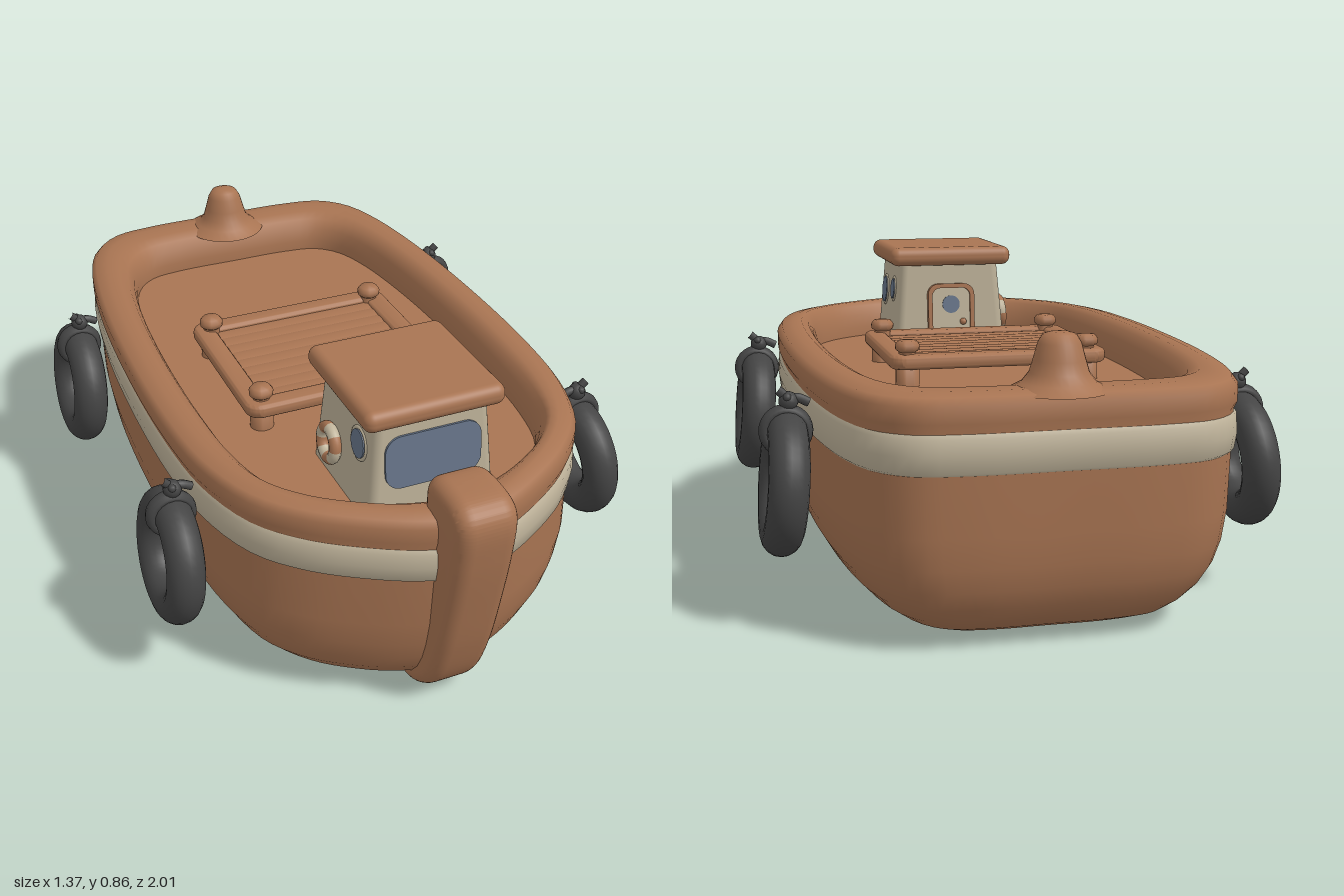
import * as THREE from 'three';
import { toCreasedNormals } from 'three/addons/utils/BufferGeometryUtils.js';
import { RoundedBoxGeometry } from 'three/addons/geometries/RoundedBoxGeometry.js';

const mat = (name, color) => {
  const m = new THREE.MeshStandardMaterial({ color });
  m.name = name;
  return m;
};

// Half outline of the hull, from stern to bow, in the range -1 to 1
const HALF = [[0, -1], [0.44, -0.997], [0.67, -0.97], [0.81, -0.89], [0.895, -0.75], [0.965, -0.48], [1, -0.11],
  [0.993, 0.26], [0.95, 0.49], [0.84, 0.68], [0.665, 0.805], [0.4, 0.915], [0.19, 0.975], [0, 1]];

function outline(count) {
  const mirrored = HALF.slice(1, -1).reverse().map(([x, z]) => [-x, z]);
  const pts = [...HALF, ...mirrored].map(([x, z]) => new THREE.Vector3(x, 0, z));
  return new THREE.CatmullRomCurve3(pts, true).getSpacedPoints(count).slice(0, count);
}

// Skin through levels of [y, half width, stern z, bow z, extra fullness of the bow]
function loft(levels, n = 112) {
  const ring = outline(n), pos = [], idx = [];
  for (const [y, hw, zb, zf, full = 0] of levels)
    for (const p of ring) {
      const widen = 1 + full * Math.max(0, p.z) ** 4;
      pos.push(p.x * hw * widen, y, (zb + zf) / 2 + p.z * (zf - zb) / 2);
    }
  for (let i = 0; i < levels.length - 1; i++)
    for (let j = 0; j < n; j++) {
      const a = i * n + j, c = i * n + (j + 1) % n, b = a + n, d = c + n;
      idx.push(a, b, c, c, b, d);
    }
  const g = new THREE.BufferGeometry();
  g.setAttribute('position', new THREE.Float32BufferAttribute(pos, 3));
  g.setIndex(idx);
  g.computeVertexNormals();
  return g;
}

function roundRect(w, h, r, Kind = THREE.Shape) {
  const s = new Kind(), x = w / 2, y = h / 2;
  s.moveTo(-x + r, -y);
  s.lineTo(x - r, -y); s.absarc(x - r, -y + r, r, -Math.PI / 2, 0);
  s.lineTo(x, y - r); s.absarc(x - r, y - r, r, 0, Math.PI / 2);
  s.lineTo(-x + r, y); s.absarc(-x + r, y - r, r, Math.PI / 2, Math.PI);
  s.lineTo(-x, -y + r); s.absarc(-x + r, -y + r, r, Math.PI, Math.PI * 1.5);
  return s;
}

const plate = (shape, depth) => new THREE.ExtrudeGeometry(shape, { depth, bevelEnabled: false, curveSegments: 10 });

export function createModel() {
  const brown = mat('hull brown', 0xa87452), cream = mat('trim cream', 0xc0b49b);
  const glass = mat('window blue grey', 0x67758a), rubber = mat('rubber black', 0x444444);
  const boat = new THREE.Group();
  boat.name = 'boat';
  const add = (name, geo, m, parent = boat, x = 0, y = 0, z = 0) => {
    const mesh = new THREE.Mesh(geo, m);
    mesh.name = name;
    mesh.position.set(x, y, z);
    parent.add(mesh);
    return mesh;
  };

  // Hull and rounded rail in one skin, then the sunken deck
  add('hull', loft([
    [0.016, 0.001, -0.101, -0.099], [0.016, 0.31, -0.78, 0.65, 0.3], [0.022, 0.36, -0.83, 0.71, 0.3],
    [0.04, 0.405, -0.868, 0.755, 0.28], [0.07, 0.447, -0.9, 0.793, 0.25], [0.11, 0.485, -0.928, 0.822, 0.22],
    [0.16, 0.515, -0.95, 0.845, 0.18], [0.22, 0.535, -0.963, 0.863, 0.14], [0.3, 0.547, -0.971, 0.878, 0.1],
    [0.45, 0.551, -0.976, 0.89], [0.558, 0.553, -0.98, 0.895],
    [0.575, 0.561, -0.987, 0.9], [0.615, 0.561, -0.987, 0.9], [0.634, 0.547, -0.973, 0.888], [0.641, 0.515, -0.935, 0.855],
    [0.641, 0.485, -0.88, 0.82, 0.15], [0.628, 0.462, -0.845, 0.795, 0.3], [0.6, 0.446, -0.826, 0.778, 0.35],
    [0.56, 0.438, -0.817, 0.77, 0.35], [0.525, 0.438, -0.817, 0.77, 0.35]]), brown);
  add('deck', loft([[0.53, 0.44, -0.82, 0.772, 0.35], [0.53, 0.001, -0.101, -0.099]]), brown);

  // Cream band around the hull
  add('hullBand', loft([[0.446, 0.545, -0.97, 0.88], [0.458, 0.557, -0.984, 0.9], [0.5, 0.562, -0.991, 0.906],
    [0.54, 0.559, -0.988, 0.904], [0.556, 0.548, -0.975, 0.89]]), cream);

  // Bow stem, drawn from the side
  const stem = new THREE.Shape();
  stem.moveTo(0.79, 0.6);
  stem.splineThru([[0.79, 0.69], [0.82, 0.724], [0.89, 0.73], [0.96, 0.718], [0.995, 0.67], [0.988, 0.56], [0.958, 0.4],
    [0.92, 0.24], [0.87, 0.11], [0.8, 0.03], [0.72, 0], [0.62, 0.018]].map(p => new THREE.Vector2(...p)));
  stem.lineTo(0.7, 0.2);
  const stemGeo = new THREE.ExtrudeGeometry(stem, { depth: 0.08, steps: 1, curveSegments: 40,
    bevelThickness: 0.042, bevelSize: 0.038, bevelOffset: -0.038, bevelSegments: 7 });
  stemGeo.translate(0, 0, -0.04).rotateY(-Math.PI / 2);
  add('bowStem', toCreasedNormals(stemGeo, 0.9), brown, boat, -0.003);

  // Stern bollard with a flared foot
  const bollard = [[0.125, 0.628], [0.09, 0.647], [0.072, 0.67], [0.063, 0.7], [0.052, 0.74], [0.04, 0.76], [0.02, 0.766], [0, 0.767]];
  add('sternBollard', new THREE.LatheGeometry(bollard.map(p => new THREE.Vector2(...p)), 28), brown, boat, 0, 0, -0.89);

  // Cabin with walls leaning slightly inward
  const cabin = new THREE.Group();
  cabin.name = 'cabin';
  cabin.position.set(-0.006, 0, 0.52);
  boat.add(cabin);
  const LEAN = 0.08, lean = y => LEAN * (y - 0.55);
  const walls = new RoundedBoxGeometry(0.356, 0.32, 0.36, 4, 0.025).translate(0, 0.665, 0);
  const wp = walls.attributes.position;
  for (let i = 0; i < wp.count; i++) {
    const s = lean(wp.getY(i));
    wp.setX(i, wp.getX(i) - Math.sign(wp.getX(i)) * s);
    wp.setZ(i, wp.getZ(i) - Math.sign(wp.getZ(i)) * s);
  }
  add('cabinWalls', walls, cream, cabin);
  add('cabinRoof', new RoundedBoxGeometry(0.386, 0.058, 0.386, 5, 0.026), brown, cabin, 0, 0.828, -0.004);

  // Fittings set on a wall: angle turns to the wall, u runs along it
  const onWall = (name, geo, m, angle, u, y, out = -0.002) => {
    const holder = new THREE.Group();
    holder.name = name + 'Mount';
    holder.rotation.y = angle;
    cabin.add(holder);
    const half = Math.abs(Math.sin(angle)) > 0.5 ? 0.178 : 0.18;
    add(name, geo, m, holder, u, y, half - lean(y) + out).rotation.x = -LEAN;
  };
  const disc = r => new THREE.CylinderGeometry(r, r, 0.008, 28).rotateX(Math.PI / 2);
  const L = Math.PI / 2, R = -Math.PI / 2, B = Math.PI;
  onWall('frontWindow', plate(roundRect(0.266, 0.148, 0.045), 0.008), glass, 0, 0, 0.692);
  for (const [angle, u, y, r] of [[L, -0.075, 0.7, 0.042], [L, 0.068, 0.717, 0.032], [R, 0.085, 0.715, 0.038]]) {
    onWall('porthole', disc(r), glass, angle, u, y, 0.002);
    onWall('portholeRim', new THREE.TorusGeometry(r + 0.004, 0.006, 8, 28), cream, angle, u, y);
  }

  // Back door with frame, small window and knob
  const frame = roundRect(0.15, 0.2, 0.035);
  frame.holes.push(roundRect(0.122, 0.172, 0.025, THREE.Path));
  onWall('doorFrame', plate(frame, 0.02), brown, B, 0, 0.64);
  onWall('doorPanel', plate(roundRect(0.13, 0.18, 0.025), 0.012), cream, B, 0, 0.64);
  onWall('doorWindow', disc(0.028), glass, B, 0, 0.675, 0.009);
  onWall('doorKnob', new THREE.SphereGeometry(0.011, 14, 10), brown, B, 0.038, 0.62, 0.014);

  // Lifebuoy in alternating colours on the right wall
  for (let i = 0; i < 8; i++)
    onWall('lifebuoySegment', new THREE.TorusGeometry(0.042, 0.017, 12, 6, Math.PI / 4).rotateZ(i * Math.PI / 4),
      i % 2 ? cream : brown, R, -0.06, 0.632, 0.014);

  // Cargo hatch: frame, shallow slats and corner posts
  const hatch = new THREE.Group();
  hatch.name = 'cargoHatch';
  hatch.position.set(-0.012, 0, -0.042);
  boat.add(hatch);
  const rim = roundRect(0.59, 0.495, 0.03);
  rim.holes.push(roundRect(0.52, 0.425, 0.02, THREE.Path));
  const rimGeo = new THREE.ExtrudeGeometry(rim, { depth: 0.012, bevelThickness: 0.014, bevelSize: 0.014, bevelSegments: 5 });
  rimGeo.rotateX(-Math.PI / 2);
  add('hatchFrame', toCreasedNormals(rimGeo, 0.9), brown, hatch, 0, 0.594, 0);
  add('hatchPanel', new THREE.BoxGeometry(0.53, 0.016, 0.435), brown, hatch, 0, 0.594, 0);
  const SLATS = 9;
  for (let i = 0; i < SLATS; i++) {
    const slat = new THREE.CylinderGeometry(0.03, 0.03, 0.49, 16).rotateZ(Math.PI / 2).scale(1, 0.25, 1);
    add('hatchSlat', slat, brown, hatch, 0, 0.602, (i - (SLATS - 1) / 2) * 0.045);
  }
  const post = [[0.033, 0.52], [0.033, 0.575], [0.024, 0.585], [0.024, 0.625], [0.033, 0.632], [0.034, 0.645], [0.026, 0.656], [0, 0.659]];
  const postGeo = toCreasedNormals(new THREE.LatheGeometry(post.map(p => new THREE.Vector2(...p)), 22), 0.9);
  for (const x of [-0.257, 0.257]) for (const z of [-0.21, 0.21]) add('hatchPost', postGeo, brown, hatch, x, 0, z);

  // Tyre fenders, leaning in at the top and hung from a rope loop
  for (const side of [-1, 1]) for (const z of [0.4, -0.547]) {
    const fender = new THREE.Group();
    fender.name = 'fender';
    fender.position.set(side * 0.616, 0, z);
    boat.add(fender);
    const tyre = add('tyre', new THREE.TorusGeometry(0.136, 0.051, 18, 44).rotateY(Math.PI / 2), rubber, fender, side * 0.004, 0.35);
    tyre.rotation.z = side * 0.09;
    add('ropeLoop', new THREE.TorusGeometry(0.053, 0.016, 10, 26), rubber, fender, -side * 0.006, 0.485).scale.z = 1.4;
    add('ropeKnot', new THREE.SphereGeometry(0.025, 14, 10), rubber, fender, -side * 0.014, 0.56);
    const rope = new THREE.CatmullRomCurve3([[0.012, 0.59], [-0.012, 0.57], [-0.04, 0.567], [-0.065, 0.555]]
      .map(([x, y]) => new THREE.Vector3(side * x, y, 0)));
    add('rope', new THREE.TubeGeometry(rope, 12, 0.012, 8), rubber, fender);
    add('ropeEnd', new THREE.CapsuleGeometry(0.011, 0.03, 4, 10).rotateX(Math.PI / 2), rubber, fender, -side * 0.01, 0.572);
  }
  return boat;
}
